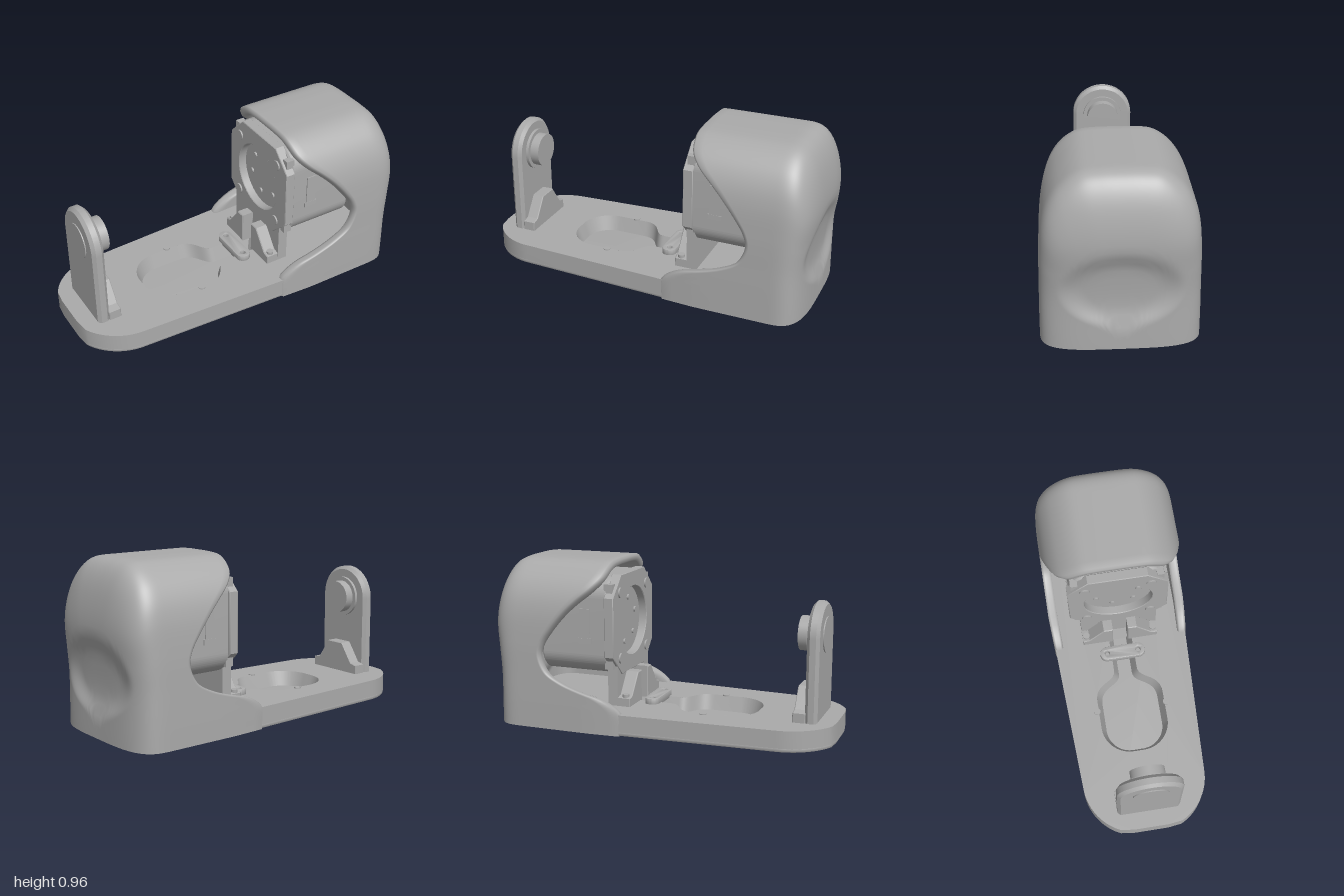
import * as THREE from 'three';
import { toCreasedNormals } from 'three/addons/utils/BufferGeometryUtils.js';

const grey = new THREE.MeshStandardMaterial({ color: 0xaaaaaa });
grey.name = 'grey plastic';

const add = (group, name, geo, x = 0, y = 0, z = 0) => {
  const m = new THREE.Mesh(geo, grey);
  m.name = name;
  m.position.set(x, y, z);
  group.add(m);
  return m;
};
const shapeOf = pts => new THREE.Shape(pts.map(p => new THREE.Vector2(p[0], p[1])));
const crease = g => toCreasedNormals(g, 0.6);

// piecewise linear or smoothed lookup in [key, value] pairs
function lookup(table, k) {
  if (k <= table[0][0]) return table[0][1];
  for (let i = 1; i < table.length; i++) {
    const [a, va] = table[i - 1], [b, vb] = table[i];
    if (k <= b) return va + (vb - va) * (k - a) / (b - a);
  }
  return table[table.length - 1][1];
}
const smooth = pts => new THREE.CatmullRomCurve3(pts.map(p => new THREE.Vector3(p[0], p[1], 0)), false, 'centripetal')
  .getPoints(120).map(v => [v.x, v.y]);

// shape in (z, y) extruded along x from x0 to x1
function alongX(shape, x0, x1, bevel = 0) {
  const g = new THREE.ExtrudeGeometry(shape, {
    depth: x1 - x0 - 2 * bevel, bevelEnabled: bevel > 0, bevelSize: bevel, bevelOffset: -bevel,
    bevelThickness: bevel, bevelSegments: 1, curveSegments: 32 });
  return crease(g.rotateY(Math.PI / 2).translate(x0 + bevel, 0, 0));
}
// shape in (x, z) extruded upward from y0 to y1
function upward(shape, y0, y1, bevel = 0) {
  const g = new THREE.ExtrudeGeometry(shape, {
    depth: y1 - y0 - 2 * bevel, bevelEnabled: bevel > 0, bevelSize: bevel, bevelOffset: -bevel,
    bevelThickness: bevel, bevelSegments: 2, curveSegments: 24 });
  return crease(g.rotateX(-Math.PI / 2).translate(0, y0 + bevel, 0));
}
const discX = (r, len, seg = 40) => new THREE.CylinderGeometry(r, r, len, seg).rotateZ(Math.PI / 2);

function roundRect(hw, hh, r, cy = 0) {
  const s = new THREE.Shape();
  s.absarc(hw - r, cy + hh - r, r, 0, Math.PI / 2);
  s.absarc(-hw + r, cy + hh - r, r, Math.PI / 2, Math.PI);
  s.absarc(-hw + r, cy - hh + r, r, Math.PI, Math.PI * 1.5);
  s.absarc(hw - r, cy - hh + r, r, Math.PI * 1.5, Math.PI * 2);
  return s;
}

// hood: arch section, front rim position and back profile
const archHalf = [[0.42, 0], [0.42, 0.15], [0.418, 0.3], [0.414, 0.5], [0.4, 0.67], [0.375, 0.765], [0.335, 0.84],
  [0.29, 0.89], [0.24, 0.927], [0.19, 0.948], [0.1, 0.957], [0, 0.958]];
const rim = smooth([[0, 0.16], [0.12, 0.16], [0.155, 0.19], [0.2, 0.27], [0.23, 0.38], [0.27, 0.5], [0.33, 0.6],
  [0.43, 0.645], [0.5, 0.63], [0.58, 0.58], [0.68, 0.5], [0.75, 0.43], [0.82, 0.35], [0.88, 0.3], [0.93, 0.285], [0.96, 0.28]]);
const backX = smooth([[0, 0.965], [0.3, 0.964], [0.44, 0.978], [0.6, 1.0], [0.78, 1.0], [0.96, 0.99]]);
const CORNER = 0.76, POWER = 3.6;
const narrow = x => Math.min(1, 0.972 + (x - 0.16) * 0.14);
const bulge = s => Math.pow(Math.max(0, 1 - Math.pow(s, POWER)), 1 / POWER);

function hoodGeometry() {
  const arch = new THREE.CatmullRomCurve3([...archHalf, ...archHalf.slice(0, -1).reverse().map(p => [-p[0], p[1]])]
    .map(p => new THREE.Vector3(0, p[1], p[0])), false, 'centripetal').getSpacedPoints(200);
  const pos = [], idx = [];
  const CAP = 36, SIDE = 10;
  let cols = 0;
  for (const p of arch) {
    const x0 = lookup(rim, p.y), line = [];
    // skin: closed back, rounded corner, then forward to the rim
    const skin = (ky, kz, inset) => {
      const out = [];
      for (let j = CAP; j >= 0; j--) {
        const s = 1 - Math.pow(j / CAP, 2.5), y = p.y * ky * s, z = p.z * kz * s;
        const r = (z / 0.33) ** 2 + ((y - 0.34) / 0.22) ** 2;
        const dish = 0.03 * THREE.MathUtils.smoothstep(1 - r, 0, 0.7);
        out.push([CORNER + (lookup(backX, y) - inset - CORNER) * bulge(s) - dish, y, z]);
      }
      for (let j = 1; j <= SIDE; j++) {
        const x = CORNER + (x0 + 0.012 - CORNER) * j / SIDE;
        out.push([x, p.y * ky, p.z * kz * narrow(x)]);
      }
      return out;
    };
    line.push(...skin(1, 1, 0));
    // rounded lip
    for (const k of [0.25, 0.75]) line.push([x0, p.y * (1 - 0.045 * k), p.z * narrow(x0) * (1 - 0.13 * k)]);
    line.push(...skin(0.955, 0.87, 0.05).reverse());
    cols = line.length;
    pos.push(...line.flat());
  }
  for (let i = 0; i < arch.length - 1; i++) for (let j = 0; j < cols - 1; j++) {
    const a = i * cols + j, b = a + cols;
    idx.push(a, b, a + 1, b, b + 1, a + 1);
  }
  const g = new THREE.BufferGeometry();
  g.setAttribute('position', new THREE.Float32BufferAttribute(pos, 3));
  g.setIndex(idx);
  g.computeVertexNormals();
  return g;
}

// base outline in (x, z)
function baseOutline() {
  const half = [];
  for (let i = 0; i <= 20; i++) {
    const s = 1 - Math.pow(1 - i / 20, 2.5);
    half.push([CORNER + (0.96 - CORNER) * bulge(s), 0.414 * s]);
  }
  half.push([0.35, 0.414], [0.16, 0.404]);
  const end = new THREE.CubicBezierCurve(new THREE.Vector2(-0.72, 0.36), new THREE.Vector2(-0.85, 0.355),
    new THREE.Vector2(-0.95, 0.27), new THREE.Vector2(-0.99, 0.18));
  half.push(...end.getPoints(16).map(v => [v.x, v.y]), [-1, 0.1], [-1, 0]);
  return [...half, ...half.slice(1, -1).reverse().map(p => [p[0], -p[1]])];
}

// cable recess outline, drawn smaller by d
function recessOutline(d) {
  const s = new THREE.Path(), w = 0.2 - d, n = 0.07 - d, l = -0.54 + d, r = 0.17 - d;
  s.moveTo(0.24 - d, n);
  s.lineTo(-0.02, n);
  s.bezierCurveTo(-0.1, n, -0.08, w, -0.2, w);
  s.lineTo(l + r, w);
  s.absarc(l + r, w - r, r, Math.PI / 2, Math.PI, false);
  s.lineTo(l, r - w);
  s.absarc(l + r, r - w, r, Math.PI, Math.PI * 1.5, false);
  s.lineTo(-0.2, -w);
  s.bezierCurveTo(-0.08, -w, -0.1, -n, -0.02, -n);
  s.lineTo(0.24 - d, -n);
  s.closePath();
  return s;
}

function recessWall(yTop, yLow) {
  const a = recessOutline(0).getPoints(16), b = recessOutline(0.03).getPoints(16), pos = [];
  for (let i = 0; i < a.length; i++) {
    const j = (i + 1) % a.length;
    const P = [a[i], a[j], b[i], b[j]].map((v, k) => [v.x, k < 2 ? yTop : yLow, -v.y]);
    for (const k of [0, 1, 2, 1, 3, 2]) pos.push(...P[k]);
  }
  const g = new THREE.BufferGeometry();
  g.setAttribute('position', new THREE.Float32BufferAttribute(pos, 3));
  // inside faces look towards the middle of the recess
  for (let i = 0; i < pos.length; i += 9) for (let k = 0; k < 3; k++) {
    const t = pos[i + 3 + k]; pos[i + 3 + k] = pos[i + 6 + k]; pos[i + 6 + k] = t;
  }
  g.computeVertexNormals();
  const m = grey.clone();
  m.side = THREE.DoubleSide;
  const mesh = new THREE.Mesh(crease(g), m);
  mesh.name = 'recessWall';
  return mesh;
}

export function createModel() {
  const model = new THREE.Group();
  model.name = 'motorStand';

  // base with a sloped cable recess
  const base = new THREE.Group(); base.name = 'base'; model.add(base);
  const outline = baseOutline();
  add(base, 'baseFloor', upward(shapeOf(outline), 0, 0.035, 0.012));
  const top = shapeOf(outline);
  top.holes.push(recessOutline(0));
  add(base, 'baseTop', upward(top, 0.02, 0.122));
  base.add(recessWall(0.122, 0.034));
  for (const s of [-1, 1]) add(base, 'locatingPin', new THREE.CylinderGeometry(0.02, 0.02, 0.008, 20), -0.265, 0.123, s * 0.21);

  // cable clamp across the channel
  const clamp = roundRect(0.042, 0.138, 0.041);
  for (const s of [-1, 1]) clamp.holes.push(new THREE.Path().absarc(0, s * 0.095, 0.015, 0, Math.PI * 2, true));
  add(model, 'cableClamp', upward(clamp, 0.11, 0.155, 0.005), 0.085);

  add(model, 'hood', hoodGeometry());

  // idler stand
  const stand = new THREE.Group(); stand.name = 'idlerStand'; model.add(stand);
  const plate = new THREE.Shape().moveTo(-0.185, 0.11).lineTo(0.185, 0.11);
  plate.absarc(0, 0.585, 0.185, 0, Math.PI, false);
  add(stand, 'standPlate', alongX(plate, -0.905, -0.835, 0.018));
  add(stand, 'standFoot', alongX(shapeOf([[-0.185, 0.11], [0.185, 0.11], [0.185, 0.175], [0.14, 0.185], [0.06, 0.3],
    [-0.06, 0.3], [-0.14, 0.185], [-0.185, 0.175]]), -0.84, -0.768, 0.004));
  add(stand, 'hubCollar', discX(0.12, 0.02), -0.828, 0.585);
  add(stand, 'hub', discX(0.097, 0.06), -0.795, 0.585);
  add(stand, 'rearBoss', discX(0.1, 0.01), -0.906, 0.585);

  // motor
  const motor = new THREE.Group(); motor.name = 'motor'; model.add(motor);
  const cy = 0.585;
  add(motor, 'motorBody', alongX(roundRect(0.275, 0.28, 0.12, cy), 0.29, 0.7, 0.01));
  const flange = shapeOf([[-0.17, cy - 0.29], [0.17, cy - 0.29], [0.29, cy - 0.17], [0.29, cy + 0.17],
    [0.17, cy + 0.29], [-0.17, cy + 0.29], [-0.29, cy + 0.17], [-0.29, cy - 0.17]]);
  flange.holes.push(new THREE.Path().absarc(0, cy, 0.2, 0, Math.PI * 2, true));
  add(motor, 'motorFlange', alongX(flange, 0.242, 0.3, 0.004));
  for (const sy of [-1, 1]) for (const sz of [-1, 1]) {
    add(motor, 'flangeLug', new THREE.BoxGeometry(0.05, 0.1, 0.04), 0.283, cy + sy * 0.195, sz * 0.245);
    add(motor, 'flangeBolt', discX(0.03, 0.014, 20), 0.24, cy + sy * 0.19, sz * 0.19);
  }
  for (let i = 0; i < 6; i++) {
    const a = i * Math.PI / 3 + 0.3;
    add(motor, 'faceScrew', discX(0.016, 0.014, 16), 0.287, cy + 0.13 * Math.sin(a), 0.13 * Math.cos(a));
  }
  for (const s of [-1, 1]) {
    add(motor, 'sideClip', new THREE.BoxGeometry(0.06, 0.2, 0.008), 0.425, 0.585, s * 0.277);
    add(motor, 'sideClipFoot', new THREE.BoxGeometry(0.08, 0.03, 0.009), 0.425, 0.5, s * 0.278);
  }

  // motor bracket with twin feet either side of the cable channel
  const bracket = new THREE.Group(); bracket.name = 'motorBracket'; model.add(bracket);
  add(bracket, 'bracketPlate', alongX(shapeOf([[-0.23, 0.11], [0.23, 0.11], [0.23, 0.4], [0.12, 0.4],
    [0.06, 0.36], [-0.06, 0.36], [-0.12, 0.4], [-0.23, 0.4]]), 0.246, 0.305));
  for (const s of [-1, 1]) {
    const foot = [[0.045, 0.11], [0.23, 0.11], [0.23, 0.17], [0.19, 0.18], [0.1, 0.3], [0.045, 0.3]].map(p => [s * p[0], p[1]]);
    add(bracket, 'bracketFoot', alongX(shapeOf(s > 0 ? foot : foot.reverse()), 0.172, 0.25, 0.005));
    add(bracket, 'footScrew', new THREE.CylinderGeometry(0.02, 0.02, 0.02, 16), 0.205, 0.18, s * 0.205);
  }
  return model;
}
